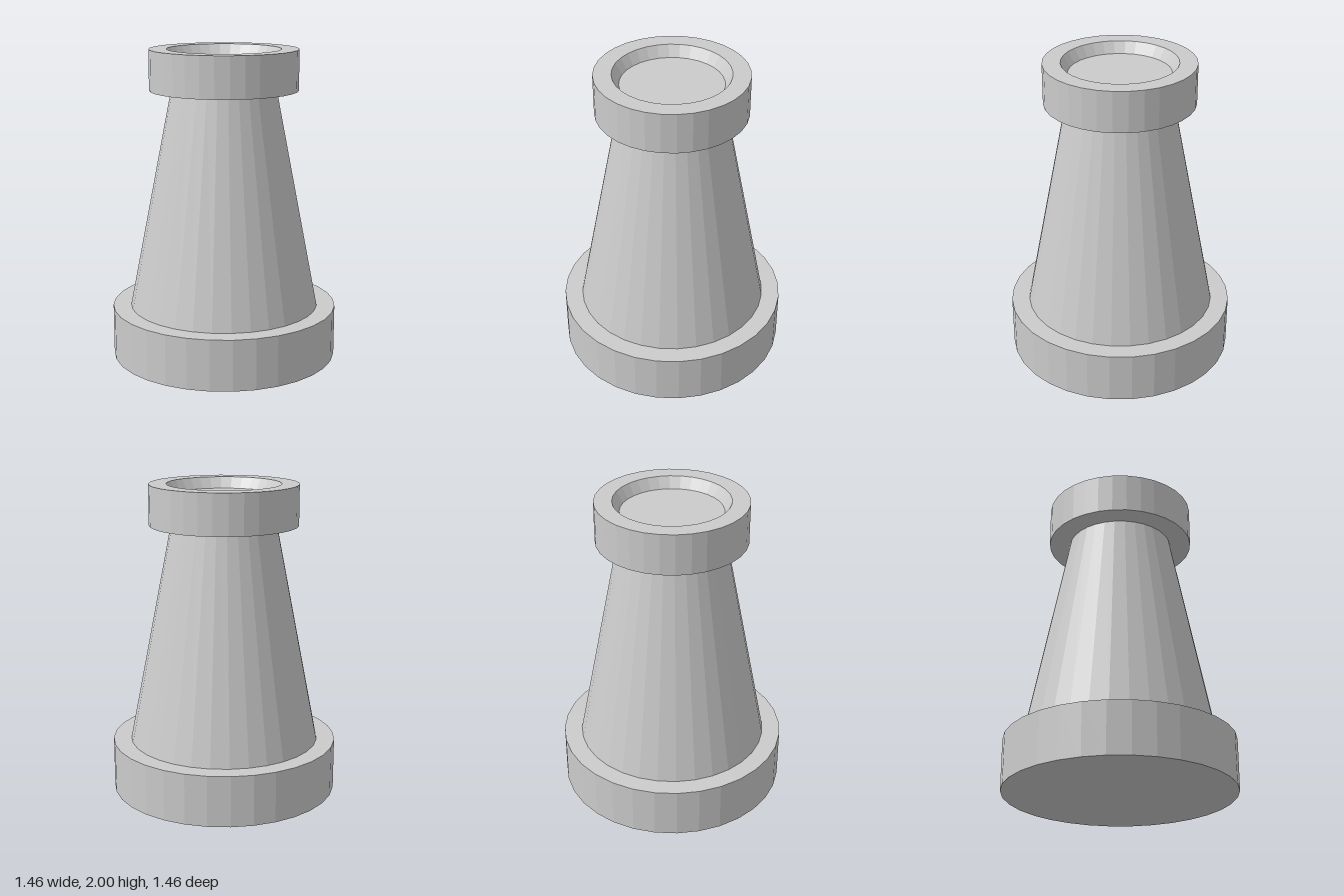
import * as THREE from 'three';

const SIDES = 32;

export function createModel() {
  const group = new THREE.Group();
  const material = new THREE.MeshStandardMaterial({ color: 0xcccccc, flatShading: true });

  // Turns a [radius, height] outline, listed from the bottom up, around the y axis
  const addTurned = (name, outline) => {
    const points = outline.map(([r, y]) => new THREE.Vector2(r, y));
    const mesh = new THREE.Mesh(new THREE.LatheGeometry(points, SIDES), material);
    mesh.name = name;
    group.add(mesh);
  };

  // Wide foot with a closed underside and a ledge around the shaft
  addTurned('base', [[0, 0], [0.73, 0], [0.73, 0.33], [0.613, 0.33]]);

  // Tapered shaft
  addTurned('shaft', [[0.613, 0.33], [0.337, 1.74]]);

  // Collar with a shallow, sloped-wall recess in its top
  addTurned('collar', [
    [0.337, 1.74], [0.475, 1.74], [0.475, 2], [0.363, 2], [0.32, 1.93], [0, 1.93],
  ]);

  return group;
}
